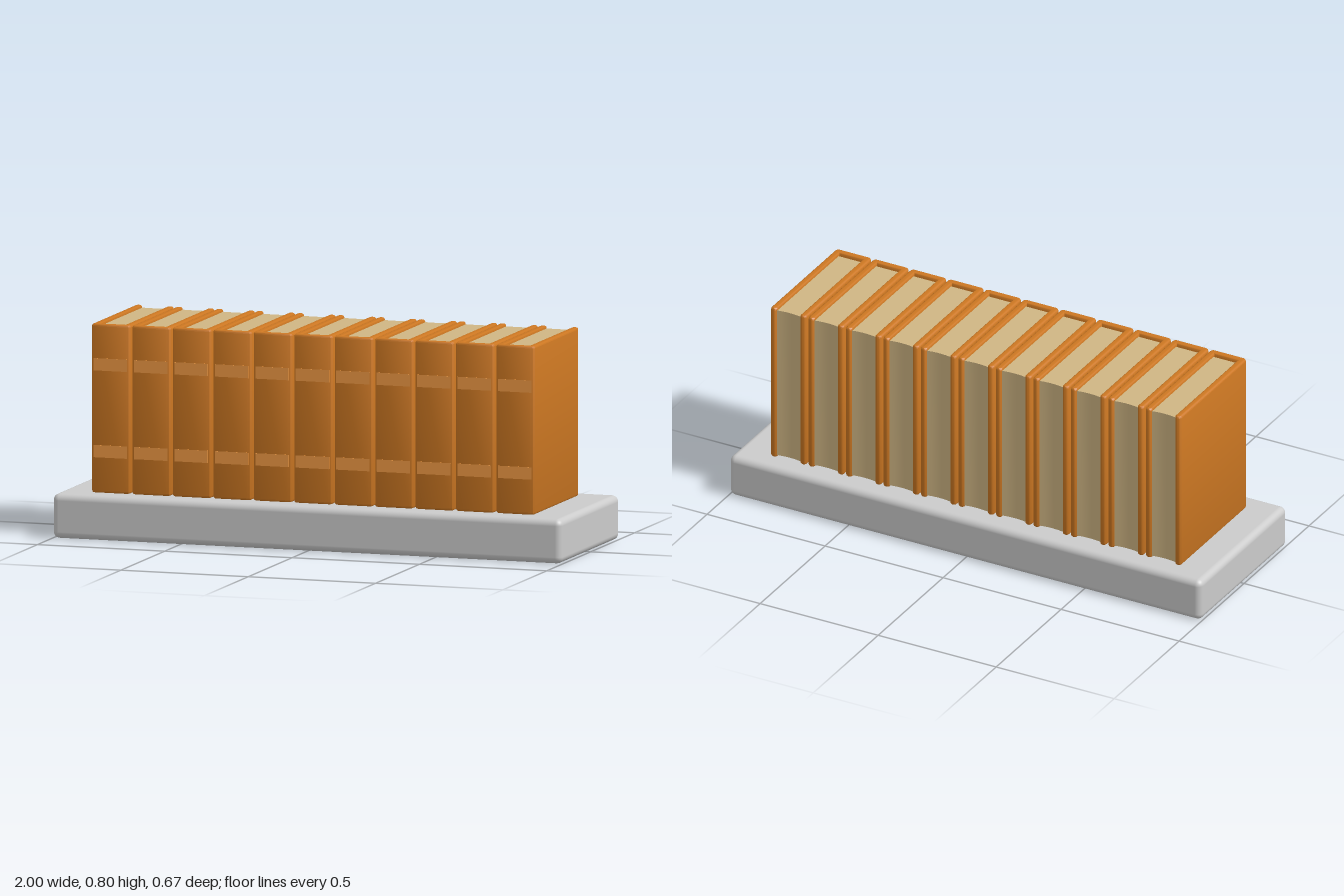
import * as THREE from 'three';
import { RoundedBoxGeometry } from 'three/addons/geometries/RoundedBoxGeometry.js';
import { toCreasedNormals } from 'three/addons/utils/BufferGeometryUtils.js';

const BOOKS = 11, PITCH = 0.1588, FIRST_X = -0.799;
const WIDTH = 0.151, BASE_TOP = 0.167, TOP = 0.8;
const FRONT = 0.253, BACK = -0.262, BOARD = 0.027, BEVEL = 0.008;

const material = (color) => new THREE.MeshStandardMaterial({ color });

function addMesh(parent, name, geometry, mat, x = 0, y = 0, z = 0) {
  const mesh = new THREE.Mesh(geometry, mat);
  mesh.name = name;
  mesh.position.set(x, y, z);
  parent.add(mesh);
  return mesh;
}

// Extrudes a plan outline (x, -z) upwards from y0 to y1
function extrudeUp(shape, y0, y1, bevel) {
  const g = new THREE.ExtrudeGeometry(shape, {
    depth: y1 - y0 - 2 * bevel, curveSegments: 5,
    bevelEnabled: bevel > 0, bevelSize: bevel, bevelThickness: bevel, bevelSegments: 3,
  });
  g.rotateX(-Math.PI / 2);
  g.translate(0, y0 + bevel, 0);
  return toCreasedNormals(g, 0.7);
}

// U-shaped cover: spine in front, two boards with rounded ends behind
function coverGeometry() {
  const w = WIDTH / 2 - BEVEL, t = BOARD - 2 * BEVEL, r = t / 2, c = 0.007;
  const front = -FRONT + BEVEL, back = -BACK - BEVEL;
  const s = new THREE.Shape();
  s.moveTo(-w + c, front);
  s.lineTo(w - c, front);
  s.absarc(w - c, front + c, c, -Math.PI / 2, 0, false);
  s.lineTo(w, back - r);
  s.absarc(w - r, back - r, r, 0, Math.PI, false);
  s.lineTo(w - t, front + t);
  s.lineTo(-w + t, front + t);
  s.lineTo(-w + t, back - r);
  s.absarc(-w + r, back - r, r, 0, Math.PI, false);
  s.lineTo(-w, front + c);
  s.absarc(-w + c, front + c, c, Math.PI, Math.PI * 1.5, false);
  return extrudeUp(s, BASE_TOP, TOP, BEVEL);
}

// Page block with a slightly hollow fore edge
function pagesGeometry() {
  const w = WIDTH / 2 - BOARD + 0.002;
  const s = new THREE.Shape();
  s.moveTo(-w, -0.218);
  s.lineTo(w, -0.218);
  s.lineTo(w, 0.254);
  s.quadraticCurveTo(0, 0.244, -w, 0.254);
  s.closePath();
  return extrudeUp(s, BASE_TOP + 0.008, TOP - 0.01, 0);
}

export function createModel() {
  const model = new THREE.Group();
  model.name = 'bookRow';

  // Plinth
  addMesh(model, 'base', new RoundedBoxGeometry(2, BASE_TOP, 0.67, 4, 0.025),
    material(0xcccccc), 0, BASE_TOP / 2, 0);

  // Row of identical books
  const cover = coverGeometry(), pages = pagesGeometry();
  const band = new THREE.BoxGeometry(0.131, 0.046, 0.004);
  const leather = material(0xcc7722), paper = material(0xd0b684), trim = material(0xee9944);
  for (let i = 0; i < BOOKS; i++) {
    const book = new THREE.Group();
    book.name = `book${i + 1}`;
    book.position.x = FIRST_X + i * PITCH;
    addMesh(book, 'cover', cover, leather);
    addMesh(book, 'pages', pages, paper);
    // Two bands across the spine
    for (const [name, y] of [['lowerBand', 0.323], ['upperBand', 0.649]])
      addMesh(book, name, band, trim, 0, y, FRONT - 0.0005);
    model.add(book);
  }
  return model;
}
